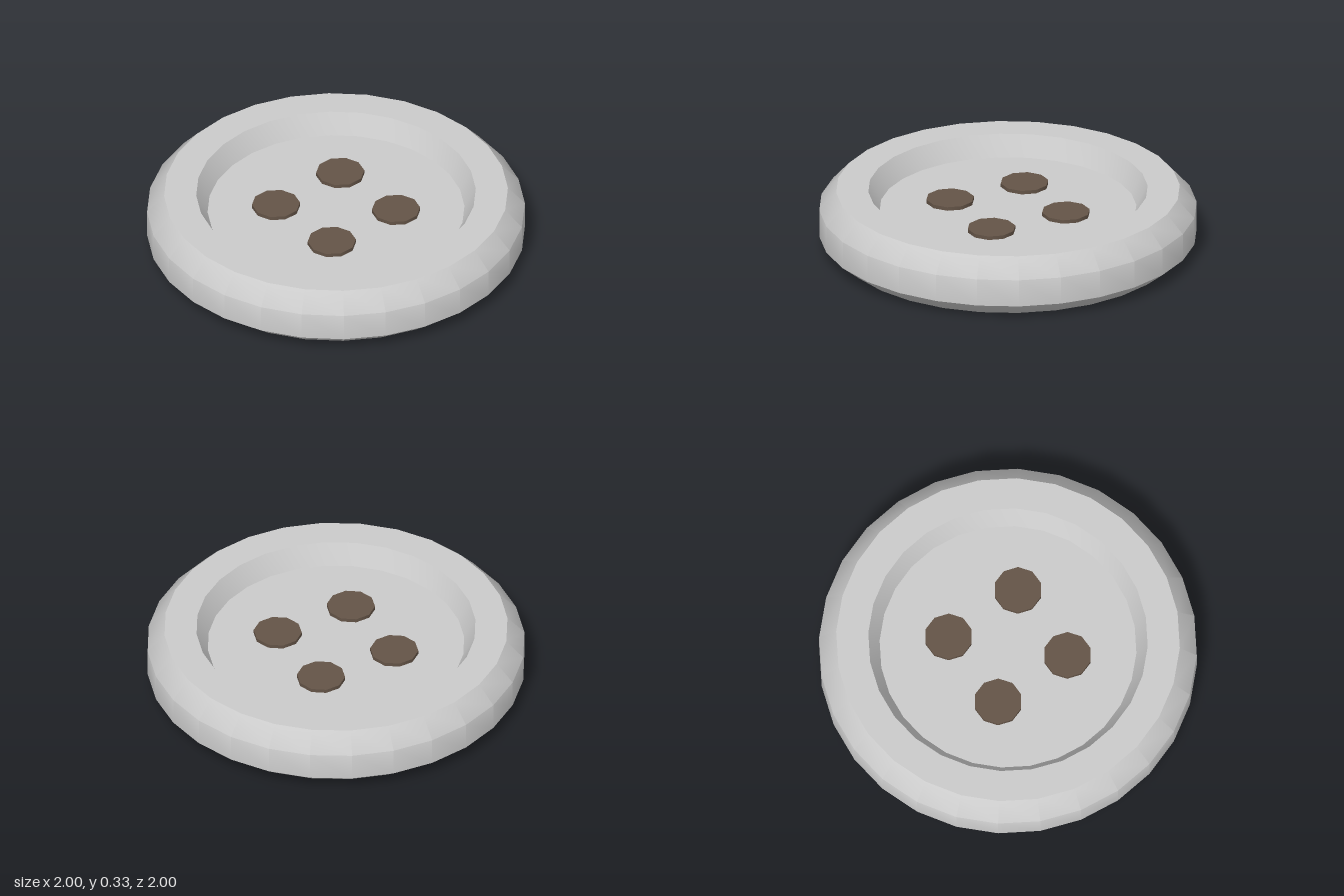
import * as THREE from 'three';
import { toCreasedNormals } from 'three/addons/utils/BufferGeometryUtils.js';

export function createModel() {
  const group = new THREE.Group();
  group.name = 'button';

  // Turned body: bottom, lower chamfer, side, upper chamfer, rim, recess wall, recess floor
  const floorY = 0.22;
  const profile = [
    [0, 0], [0.9, 0], [1, 0.08], [1, 0.23], [0.91, 0.33],
    [0.74, 0.33], [0.68, floorY], [0, floorY],
  ].map(([r, y]) => new THREE.Vector2(r, y));
  const body = new THREE.Mesh(
    // The crease angle keeps the bottom edge soft and the other rims sharp
    toCreasedNormals(new THREE.LatheGeometry(profile, 28), 0.75),
    new THREE.MeshStandardMaterial({ color: 0xcccccc }),
  );
  body.name = 'buttonBody';
  group.add(body);

  // Four dark thread holes, shown as thin discs standing just above the recess floor
  const holeGeometry = new THREE.CylinderGeometry(0.128, 0.128, 0.04, 10);
  holeGeometry.rotateY(Math.PI / 2);
  const holeMaterial = new THREE.MeshStandardMaterial({ color: 0x645447 });
  for (const x of [-1, 1]) {
    for (const z of [-1, 1]) {
      const hole = new THREE.Mesh(holeGeometry, holeMaterial);
      hole.name = `${z > 0 ? 'front' : 'back'}${x > 0 ? 'Left' : 'Right'}Hole`;
      hole.position.set(x * 0.225, floorY, z * 0.225);
      group.add(hole);
    }
  }
  return group;
}
